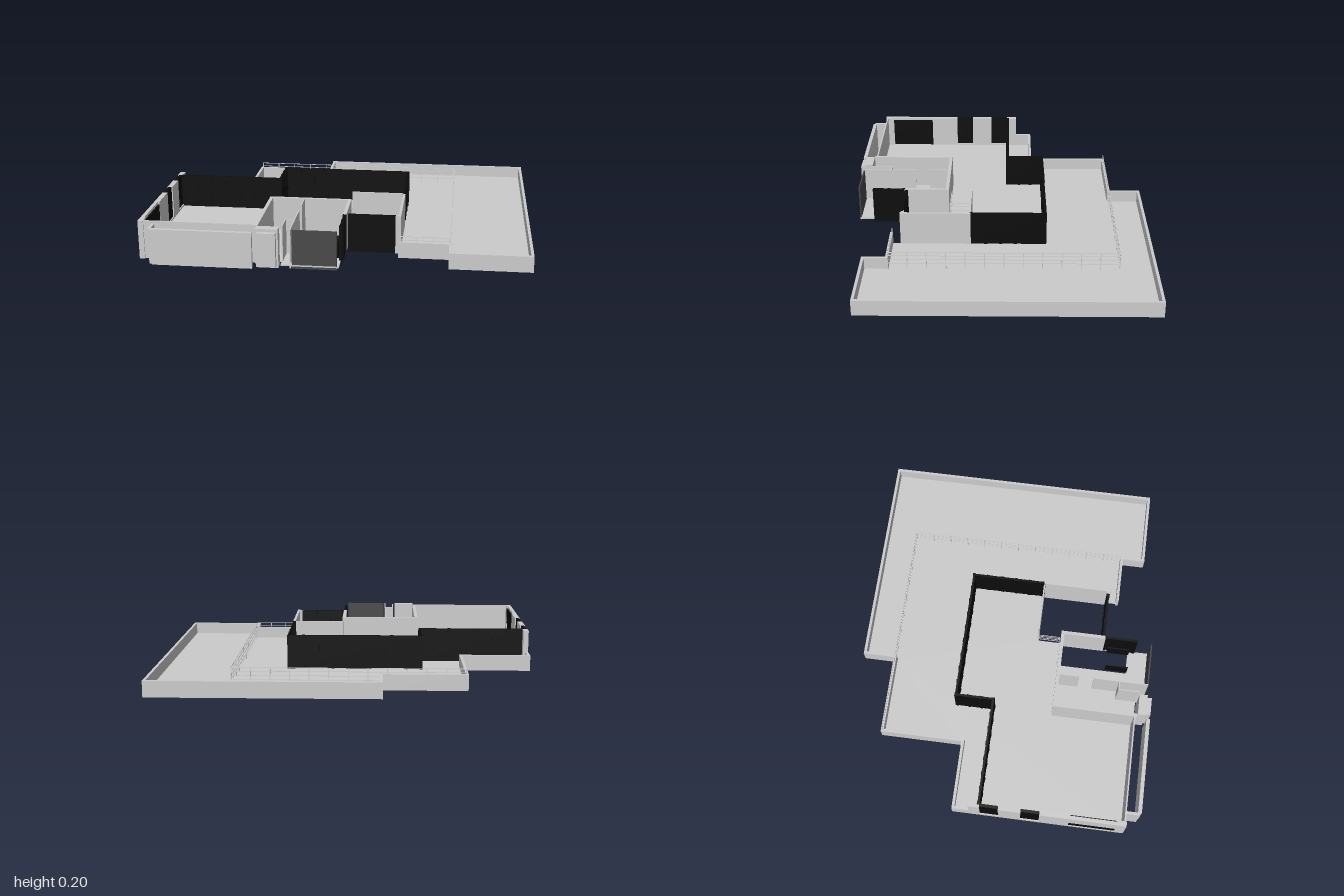
import * as THREE from 'three';

const grey = new THREE.MeshStandardMaterial({ color: 0xcccccc, side: THREE.DoubleSide });
const black = new THREE.MeshStandardMaterial({ color: 0x0c0c0c });
const dark = new THREE.MeshStandardMaterial({ color: 0x484848 });

const FLOOR = 0.02, LOW = 0.085, TOP = 0.205;

export function createModel() {
  const model = new THREE.Group();

  // box given by its limits
  function block(parent, name, x0, x1, y0, y1, z0, z1, mat = grey) {
    const mesh = new THREE.Mesh(new THREE.BoxGeometry(x1 - x0, y1 - y0, z1 - z0), mat);
    mesh.position.set((x0 + x1) / 2, (y0 + y1) / 2, (z0 + z1) / 2);
    mesh.name = name;
    parent.add(mesh);
  }

  // axis-aligned wall run along a plan path of [x, z] points
  function wall(name, pts, y0, y1, t = 0.015, mat = grey, parent = model) {
    const run = new THREE.Group();
    run.name = name;
    const h = t / 2;
    for (let i = 1; i < pts.length; i++) {
      const [ax, az] = pts[i - 1], [bx, bz] = pts[i];
      block(run, name + 'Section', Math.min(ax, bx) - h, Math.max(ax, bx) + h, y0, y1,
        Math.min(az, bz) - h, Math.max(az, bz) + h, mat);
    }
    parent.add(run);
  }

  // evenly spaced uprights along a plan path
  function uprights(parent, name, pts, y0, y1, t, step, mat) {
    for (let i = 1; i < pts.length; i++) {
      const [ax, az] = pts[i - 1], [bx, bz] = pts[i];
      const n = Math.max(1, Math.round(Math.hypot(bx - ax, bz - az) / step));
      for (let k = 0; k <= n; k++) {
        const x = ax + (bx - ax) * k / n, z = az + (bz - az) * k / n;
        block(parent, name, x - t / 2, x + t / 2, y0, y1, z - t / 2, z + t / 2, mat);
      }
    }
  }

  function railing(name, pts) {
    const rail = new THREE.Group();
    rail.name = name;
    for (const y of [0.05, 0.072, 0.094, 0.113]) wall('railBar', pts, y - 0.0015, y + 0.0015, 0.003, grey, rail);
    uprights(rail, 'railPost', pts, FLOOR, 0.113, 0.004, 0.1, grey);
    model.add(rail);
  }

  function glazing(name, pts, y0 = FLOOR) {
    const g = new THREE.Group();
    g.name = name;
    wall('glassPanel', pts, y0, TOP, 0.012, black, g);
    uprights(g, 'mullion', pts, y0, TOP, 0.017, 0.08, black);
    model.add(g);
  }

  // floor slab, with the courtyard notch and the stair opening
  const plan = (pts, Type) => new Type(pts.map(([x, z]) => new THREE.Vector2(x, -z)));
  const outline = plan([[-0.975, -0.19], [-0.62, -0.19], [-0.62, -0.635], [-0.19, -0.635], [-0.19, -0.81],
    [0.99, -0.81], [0.99, 0.705], [0.58, 0.705], [0.58, 0.58], [0.32, 0.58], [0.32, 0.15], [0.035, 0.15],
    [0.035, 0.79], [-0.26, 0.79], [-0.26, 0.74], [-0.4, 0.74], [-0.4, 0.73], [-0.975, 0.73]], THREE.Shape);
  outline.holes.push(plan([[-0.1, 0.29], [0.025, 0.29], [0.025, 0.67], [-0.1, 0.67]], THREE.Path));
  const slab = new THREE.Mesh(new THREE.ExtrudeGeometry(outline, { depth: 0.008, bevelEnabled: false }), grey);
  slab.rotation.x = -Math.PI / 2;
  slab.position.y = FLOOR - 0.008;
  slab.name = 'floorSlab';
  model.add(slab);

  // low parapet around the terraces
  wall('parapet', [[-0.9925, -0.1], [-0.9925, -0.185], [-0.62, -0.185], [-0.62, -0.635], [-0.185, -0.635],
    [-0.185, -0.8075], [0.9925, -0.8075], [0.9925, 0.705], [0.585, 0.705], [0.585, 0.58], [0.325, 0.58]], 0, LOW);

  // terrace railings
  railing('terraceRailing', [[-0.615, -0.635], [0.583, -0.635], [0.583, 0.575], [0.325, 0.575]]);
  railing('landingRailing', [[-0.1, 0.275], [0.035, 0.275], [0.035, 0.155]]);

  // dark window walls
  glazing('terraceGlazing', [[-0.975, -0.045], [-0.4, -0.045], [-0.4, -0.25], [0.318, -0.25], [0.318, 0.15]]);
  glazing('courtyardGlazing', [[0.06, 0.518], [0.29, 0.518]], 0);
  glazing('entranceSideGlazing', [[0.035, 0.535], [0.035, 0.7]], 0);

  // courtyard walls
  wall('courtyardSideWall', [[0.32, 0.158], [0.32, 0.525]], 0, TOP, 0.014);
  wall('courtyardBackWall', [[0.04, 0.154], [0.32, 0.154]], 0, TOP, 0.008);
  block(model, 'courtyardPost', 0.29, 0.325, 0, TOP, 0.51, 0.526);

  // entrance hall walls
  wall('hallWall', [[-0.39, 0.735], [-0.39, 0.29], [0.035, 0.29], [0.035, 0.52]], 0, TOP, 0.018);
  wall('hallPartition', [[-0.21, 0.3], [-0.21, 0.405]], 0, TOP, 0.006);
  wall('hallPartition', [[-0.21, 0.49], [-0.21, 0.63], [-0.257, 0.63], [-0.257, 0.74]], 0, TOP, 0.006);
  wall('hallPartition', [[-0.21, 0.63], [-0.21, 0.785]], 0, TOP, 0.006);
  block(model, 'entranceDoor', -0.2, 0.025, 0, TOP, 0.782, 0.79, dark);
  block(model, 'porchBlock', -0.385, -0.27, 0, TOP, 0.745, 0.79);
  block(model, 'porchPanel', -0.375, -0.28, 0.01, 0.19, 0.79, 0.815);

  // stair opening side rails
  for (const x of [-0.09, 0.015]) block(model, 'stairRail', x - 0.003, x + 0.003, FLOOR, 0.1, 0.55, 0.675, black);

  // front wall and the panel standing before it
  wall('frontWall', [[-0.985, 0.73], [-0.4, 0.73]], 0, TOP, 0.008);
  block(model, 'frontPanel', -0.915, -0.4, 0, 0.19, 0.795, 0.815);
  block(model, 'frontPanelReturn', -0.93, -0.915, 0, 0.19, 0.73, 0.805);
  block(model, 'frontCorner', -1, -0.972, 0, TOP, 0.69, 0.74);

  // side wall with its windows
  for (const [a, b] of [[-0.1, -0.04], [0.06, 0.18], [0.28, 0.44]])
    block(model, 'sideWall', -1, -0.972, 0, TOP, a, b);
  for (const [a, b] of [[-0.04, 0.06], [0.18, 0.28]]) {
    block(model, 'sideSill', -1, -0.972, 0, 0.03, a, b);
    block(model, 'sideWindow', -0.994, -0.978, 0.03, TOP, a, b, black);
  }
  block(model, 'wideWindowLower', -0.996, -0.978, 0.02, 0.1, 0.44, 0.69, black);
  block(model, 'wideWindowSill', -1, -0.972, 0, 0.02, 0.44, 0.69);
  block(model, 'wideWindowHead', -1, -0.98, 0.1, TOP, 0.44, 0.69);
  block(model, 'wideWindowUpper', -0.98, -0.973, 0.1, 0.19, 0.44, 0.69, black);

  return model;
}
